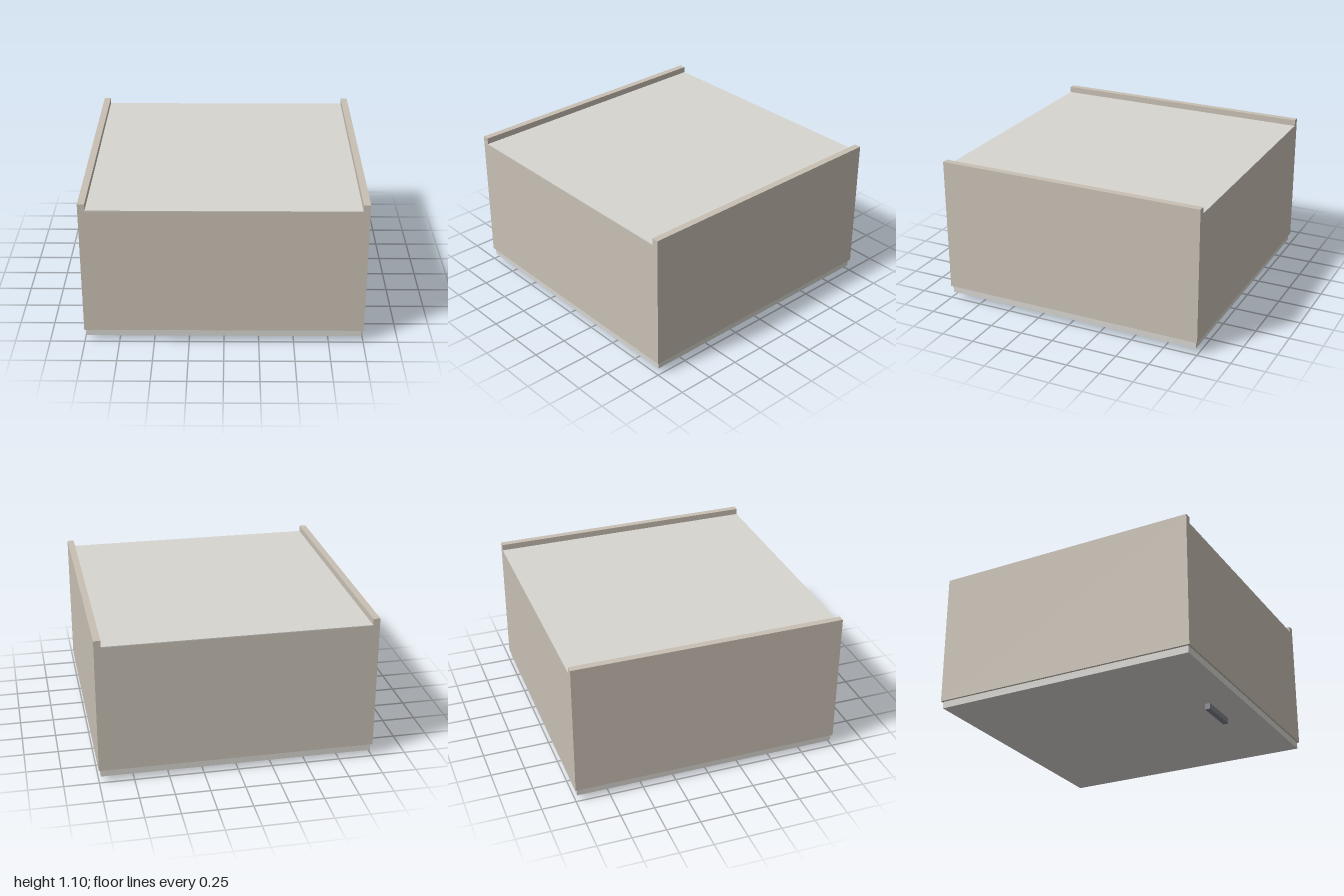
import * as THREE from 'three';

export function createModel() {
  const group = new THREE.Group();
  group.name = 'cabinet';
  const carcass = new THREE.MeshStandardMaterial({ color: 0xc8c0b4 });
  const panel = new THREE.MeshStandardMaterial({ color: 0xd6d5d0 });
  const metal = new THREE.MeshStandardMaterial({ color: 0x80828a });

  // Box given by its minimum and maximum corners
  function board(name, material, [x0, y0, z0], [x1, y1, z1]) {
    const mesh = new THREE.Mesh(new THREE.BoxGeometry(x1 - x0, y1 - y0, z1 - z0), material);
    mesh.position.set((x0 + x1) / 2, (y0 + y1) / 2, (z0 + z1) / 2);
    mesh.name = name;
    group.add(mesh);
  }

  const bottom = 0.096, top = 1.096, recess = 1.05, t = 0.05, backThickness = 0.006;

  // Side boards stand proud of the recessed back panel
  board('leftSide', carcass, [1 - t, bottom, -1], [1, top, 1]);
  board('rightSide', carcass, [-1, bottom, -1], [-1 + t, top, 1]);

  // End boards fit between the sides
  board('frontEnd', carcass, [-1 + t, bottom, 1 - t], [1 - t, recess - backThickness, 1]);
  board('rearEnd', carcass, [-1 + t, bottom, -1], [1 - t, recess - backThickness, -1 + t]);

  // Thin back panel closes the box
  board('backPanel', panel, [-1 + t, recess - backThickness, -1], [1 - t, recess, 1]);

  // Slightly inset door underneath, with a bar handle
  board('door', panel, [-0.987, 0.043, -0.987], [0.987, bottom - 0.002, 0.987]);
  board('handle', metal, [-0.16, 0, 0.72], [0.16, 0.043, 0.76]);

  return group;
}
